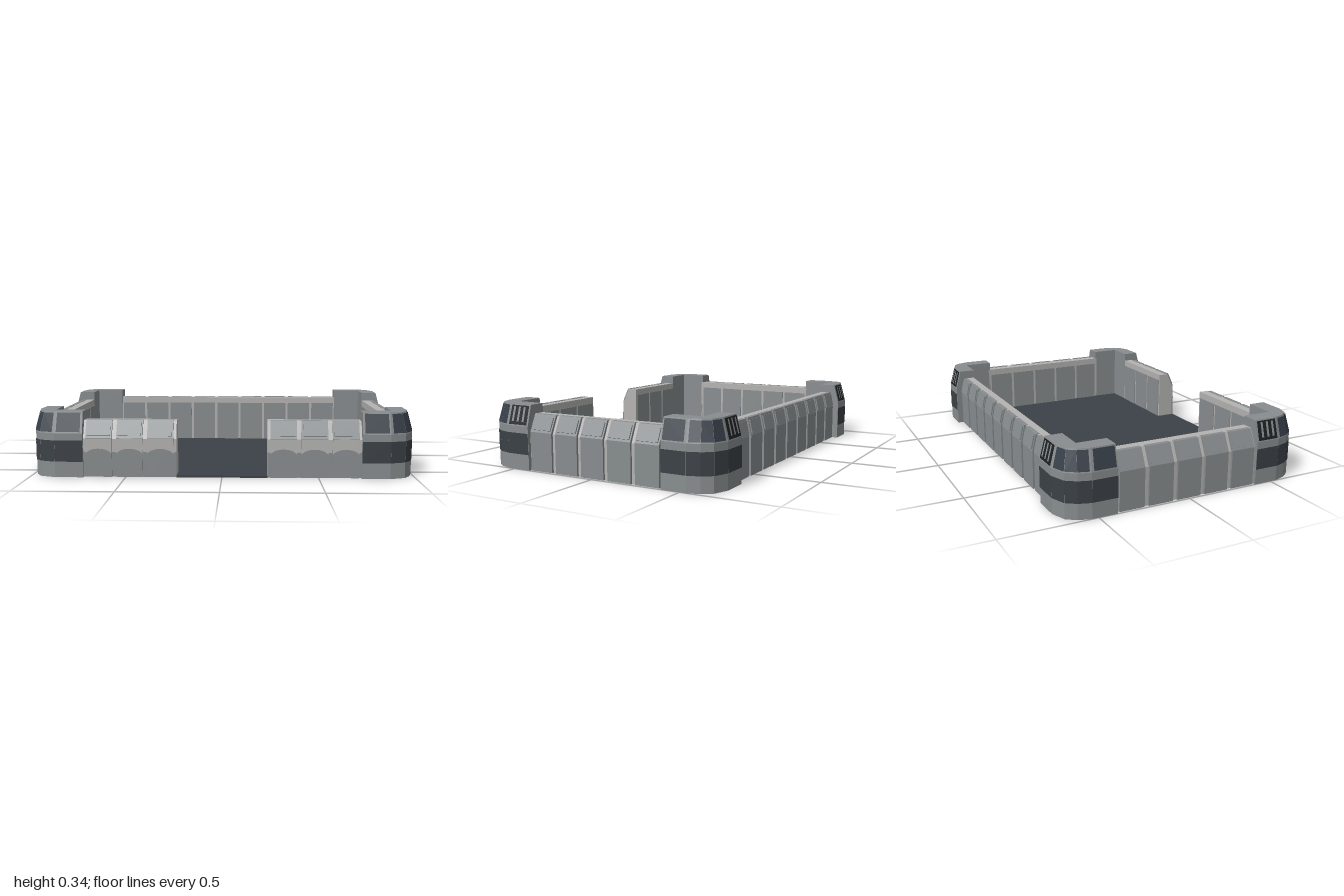
import * as THREE from 'three';

const mat = (name, color) => {
  const m = new THREE.MeshStandardMaterial({ color });
  m.name = name;
  return m;
};

export function createModel() {
  const light = mat('light grey', 0xb4b3b1), mid = mat('mid grey', 0x888d8f);
  const dark = mat('charcoal', 0x3b4147), glass = mat('blue charcoal', 0x383f4a), black = mat('vent black', 0x1d2022);
  const model = new THREE.Group();
  model.name = 'walledCompound';

  const add = (parent, name, geo, material, x = 0, y = 0, z = 0) => {
    const m = new THREE.Mesh(geo, material);
    m.name = name;
    m.position.set(x, y, z);
    parent.add(m);
    return m;
  };
  const box = (w, h, d) => new THREE.BoxGeometry(w, h, d);
  const shapeOf = pts => new THREE.Shape(pts.map(p => new THREE.Vector2(...p)));

  // Triangle soup from quads given as four corners each
  const soup = tris => {
    const g = new THREE.BufferGeometry();
    g.setAttribute('position', new THREE.Float32BufferAttribute(tris.flat(), 3));
    g.computeVertexNormals();
    return g;
  };
  const quad = (a, b, c, d) => [a, b, c, a, c, d];

  // Section (outward depth, height) swept along x
  const sweep = (pts, len) => new THREE.ExtrudeGeometry(shapeOf(pts), { depth: len, bevelEnabled: false })
    .translate(0, 0, -len / 2).rotateY(-Math.PI / 2);

  // Wall segment: inner face at z = 0, outer face towards +z
  function wall(name, len, depth, inset, n, x, z, turn, front = false) {
    const g = new THREE.Group();
    g.name = name;
    g.position.set(x, 0, z);
    g.rotation.y = turn;
    model.add(g);
    const c = depth - 0.012, pitch = 0.16, tilt = -Math.atan(inset / 0.09);
    add(g, 'wallCore', sweep([[0, 0], [c, 0], [c, 0.2], [c - inset, 0.292], [0, 0.292]], len), light);
    if (front) add(g, 'kickPlate', box(len, 0.13, 0.008), mid, 0, 0.067, c + 0.002);
    for (let i = 0; i < n; i++) {
      const px = (i - (n - 1) / 2) * pitch;
      add(g, 'outerPanel', sweep([[c - inset - 0.01, 0.002], [depth, 0.002], [depth, 0.205],
        [depth - inset, 0.294], [c - inset - 0.01, 0.294]], 0.136), mid, px);
      const w = add(g, 'slopedPanel', box(0.12, 0.072, 0.009), mid, px, 0.249, depth - inset / 2 + 0.002);
      w.rotation.x = tilt;
      add(g, 'innerPanel', box(0.145, 0.245, 0.006), mid, px, 0.1325, -0.001);
      if (front) {
        // Pale sill with an arched lower edge
        const s = new THREE.Shape();
        s.moveTo(-0.068, 0.203);
        s.lineTo(-0.068, 0.125);
        s.quadraticCurveTo(-0.045, 0.15, 0, 0.15);
        s.quadraticCurveTo(0.045, 0.15, 0.068, 0.125);
        s.lineTo(0.068, 0.203);
        add(g, 'archedSill', new THREE.ShapeGeometry(s), light, px, 0, depth + 0.002);
      }
    }
  }
  const H = Math.PI / 2;
  wall('leftWall', 0.82, 0.113, 0.042, 5, 0.88, 0, H);
  wall('rightWall', 0.82, 0.113, 0.042, 5, -0.88, 0, -H);
  wall('backWall', 1.46, 0.085, 0.02, 9, 0, -0.565, 2 * H);
  for (const s of [1, -1]) wall(s > 0 ? 'frontLeftWall' : 'frontRightWall', 0.485, 0.113, 0.042, 3, s * 0.478, 0.56, 0, true);

  // Floor with an apron through the gateway
  const floor = new THREE.ExtrudeGeometry(shapeOf([[-0.88, 0.565], [-0.88, -0.56], [-0.235, -0.56], [-0.235, -0.668],
    [0.235, -0.668], [0.235, -0.56], [0.88, -0.56], [0.88, 0.565]]), { depth: 0.01, bevelEnabled: false }).rotateX(-H);
  add(model, 'floor', floor, dark);

  // Corner bastions: plan outline of the outside, at the foot and at the top
  const low = [[0.72, 0.68], [0.865, 0.68], [0.945, 0.65], [0.98, 0.6], [1, 0.535], [1, 0.4]];
  const top = [[0.72, 0.65], [0.86, 0.65], [0.923, 0.628], [0.952, 0.59], [0.97, 0.53], [0.97, 0.4]];
  const inside = [[0.88, 0.4], [0.88, 0.56], [0.72, 0.56]];

  function corner(sx, sz) {
    const g = new THREE.Group();
    g.name = (sz > 0 ? 'front' : 'back') + (sx > 0 ? 'Left' : 'Right') + 'Corner';
    model.add(g);
    const flip = sx * sz < 0;
    const order = t => {
      if (flip) for (let i = 0; i < t.length; i += 3) [t[i + 1], t[i + 2]] = [t[i + 2], t[i + 1]];
      return t;
    };
    const at = (p, y) => [p[0] * sx, y, p[1] * sz];

    // Solid between two outlines
    const prism = (a, y0, b, y1) => {
      const A = [...a, ...inside], B = [...b, ...inside], t = [];
      A.forEach((p, i) => {
        const j = (i + 1) % A.length;
        t.push(...quad(at(p, y0), at(A[j], y0), at(B[j], y1), at(B[i], y1)));
      });
      for (const [ring, y, up] of [[A, y0, false], [B, y1, true]]) {
        const v = ring.map(p => new THREE.Vector2(...p));
        for (const [i, j, k] of THREE.ShapeUtils.triangulateShape(v, [])) {
          const cw = (v[j].x - v[i].x) * (v[k].y - v[i].y) - (v[j].y - v[i].y) * (v[k].x - v[i].x) < 0;
          const f = cw === up ? [i, j, k] : [i, k, j];
          t.push(...f.map(n => at(ring[n], y)));
        }
      }
      return soup(order(t));
    };
    // Thin face lying on outline edge i, over fractions u (along) and v (up)
    const face = (i, a, y0, b, y1, u0, u1, v0, v1, lift) => {
      const dx = a[i + 1][0] - a[i][0], dz = a[i + 1][1] - a[i][1], l = Math.hypot(dx, dz);
      const pt = (u, v) => {
        const mix = k => (a[i][k] + (a[i + 1][k] - a[i][k]) * u) * (1 - v) + (b[i][k] + (b[i + 1][k] - b[i][k]) * u) * v;
        return at([mix(0) - dz / l * lift, mix(1) + dx / l * lift], y0 + (y1 - y0) * v);
      };
      return order(quad(pt(u0, v0), pt(u1, v0), pt(u1, v1), pt(u0, v1)));
    };
    const slope = (i, u0, u1, v0, v1, lift) => face(i, low, 0.23, top, 0.34, u0, u1, v0, v1, lift);

    add(g, 'cornerBase', prism(low, 0, low, 0.23), mid);
    add(g, 'cornerTop', prism(low, 0.23, top, 0.34), mid);
    // Dark belt round the outside
    const belt = [0, 1, 2, 3, 4].flatMap(i => face(i, low, 0.082, low, 0.193, 0, 1, 0, 1, 0.002));
    add(g, 'belt', soup(belt), dark);
    // Wrap-round window on the bend
    const bend = [1, 2, 3].flatMap(i => slope(i, i === 1 ? 0.15 : 0, i === 3 ? 0.85 : 1, 0.06, 0.94, 0.003));
    add(g, 'bendWindow', soup(bend), glass);
    // Flat window on one wing, slatted vent on the other
    const win = sz > 0 ? 0 : 4, vent = 4 - win;
    add(g, 'wingWindow', soup(slope(win, 0.08, 0.94, 0.06, 0.95, 0.003)), glass);
    add(g, 'vent', soup(slope(vent, 0.06, 0.94, 0.06, 0.95, 0.003)), black);
    const slats = [0.25, 0.5, 0.75].flatMap(u => slope(vent, u - 0.05, u + 0.05, 0.2, 0.9, 0.007));
    add(g, 'ventSlats', soup(slats), mid);
  }
  for (const sx of [1, -1]) for (const sz of [1, -1]) corner(sx, sz);

  return model;
}
